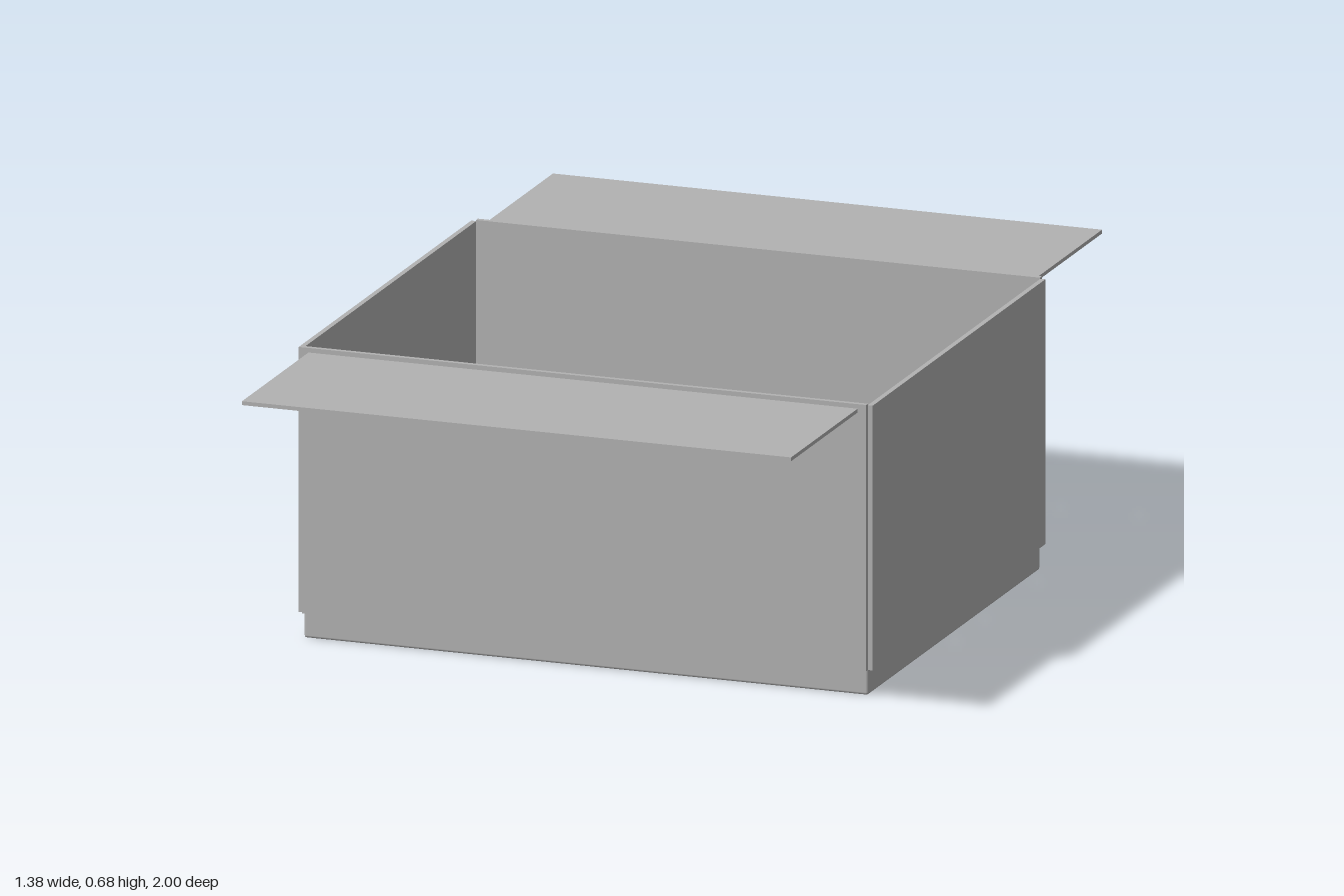
import * as THREE from 'three';
import { RoundedBoxGeometry } from 'three/addons/geometries/RoundedBoxGeometry.js';

export function createModel() {
  const group = new THREE.Group();
  const grey = new THREE.MeshStandardMaterial({ color: 0xb2b2b2 });
  grey.name = 'plain grey';

  const add = (name, geometry, x, y, z) => {
    const mesh = new THREE.Mesh(geometry, grey);
    mesh.name = name;
    mesh.position.set(x, y, z);
    group.add(mesh);
  };

  // Recessed base tray with slightly softened edges, floor at wall bottom
  add('base', new RoundedBoxGeometry(1.356, 0.064, 1.106, 2, 0.006), 0, 0.032, 0);

  // Thin walls, leaving a small notch at each outer corner
  for (const s of [-1, 1]) {
    add(s > 0 ? 'leftWall' : 'rightWall',
      new THREE.BoxGeometry(0.012, 0.62, 1.11), s * 0.684, 0.37, 0);
    add(s > 0 ? 'frontWall' : 'backWall',
      new THREE.BoxGeometry(1.356, 0.623, 0.012), 0, 0.3715, s * 0.559);
  }

  // Open flaps, folded out level with the rim
  const flap = (name, near, far, s) => add(name,
    new THREE.BoxGeometry(1.32, 0.009, far - near), 0, 0.67, s * (near + far) / 2);
  flap('frontFlap', 0.572, 1, 1);
  flap('backFlap', 0.578, 1, -1);

  return group;
}
